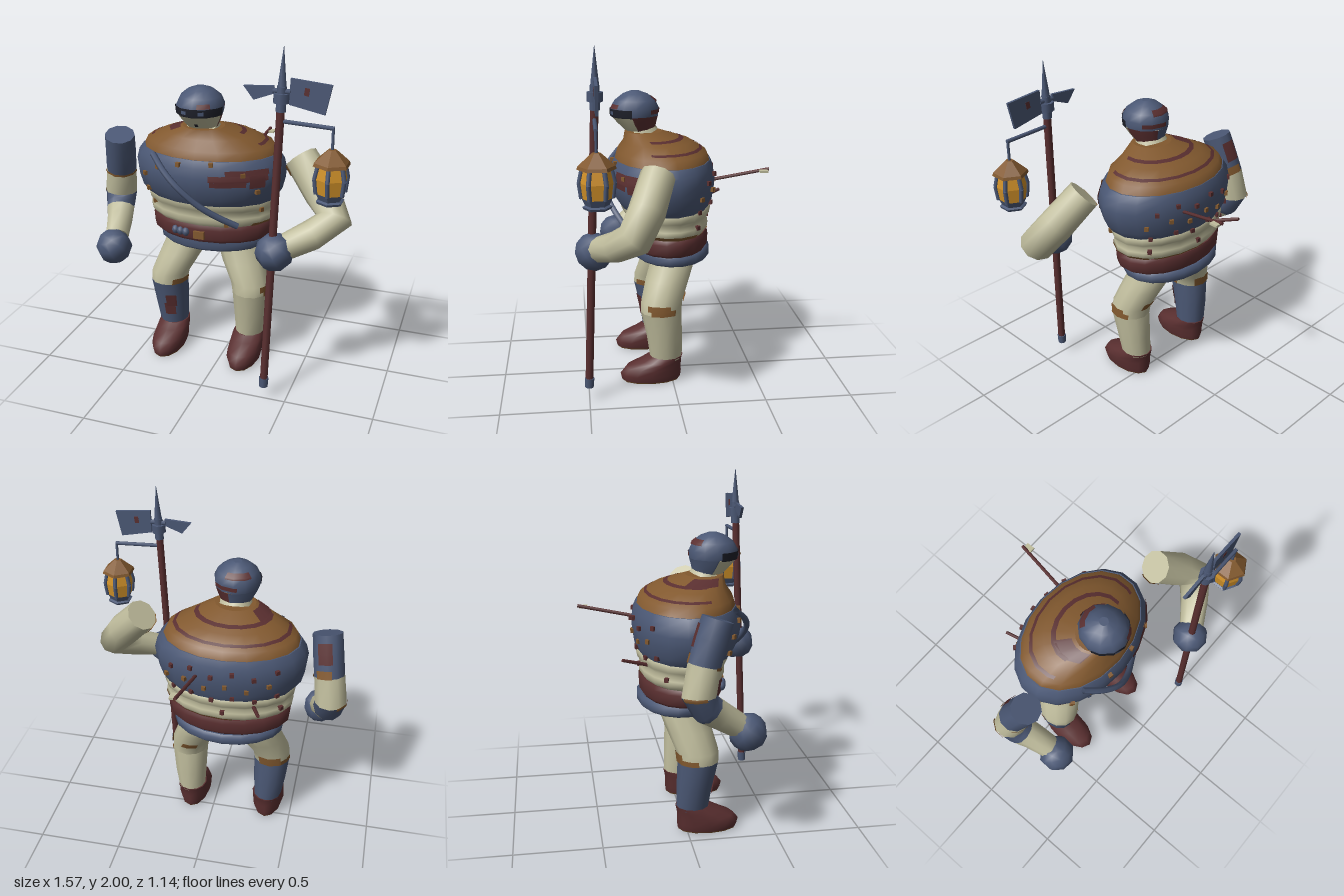
import * as THREE from 'three';

const mat = (name, color) => {
  const m = new THREE.MeshStandardMaterial({ color, side: THREE.DoubleSide });
  m.name = name;
  return m;
};

export function createModel() {
  const root = new THREE.Group();
  const cream = mat('cream', 0xc0bd9d), blue = mat('steelBlue', 0x4b5875), red = mat('oxblood', 0x5a2f30);
  const brown = mat('leather', 0x82592f), amber = mat('amber', 0xcf9029), dark = mat('dark', 0x1f212b);

  const add = (name, geo, m, parent = root) => {
    const mesh = new THREE.Mesh(geo, m);
    mesh.name = name;
    parent.add(mesh);
    return mesh;
  };
  const V = (x, y, z) => new THREE.Vector3(x, y, z);

  // Cross-sections [x, y, z, radiusX, radiusZ], listed bottom to top; tilted ones follow the path.
  const makeRings = (list, tilted = false) => list.map(([x, y, z, rx, rz = rx], i) => {
    const u = V(1, 0, 0), v = V(0, 0, 1);
    if (tilted) {
      const a = list[Math.max(i - 1, 0)], b = list[Math.min(i + 1, list.length - 1)];
      const t = V(b[0] - a[0], b[1] - a[1], b[2] - a[2]).normalize();
      v.addScaledVector(t, -v.dot(t)).normalize();
      u.crossVectors(t, v);
    }
    return { c: V(x, y, z), u, v, rx, rz };
  });
  // Point on a lofted body: s counts sections, t is the angle from the front towards +x.
  const point = (rings, s, t, off = 0) => {
    const i = Math.min(Math.floor(s), rings.length - 2), f = s - i;
    const [p, q] = [0, 1].map((k) => {
      const r = rings[i + k];
      return r.c.clone().addScaledVector(r.u, Math.sin(t) * (r.rx + off)).addScaledVector(r.v, Math.cos(t) * (r.rz + off));
    });
    return p.lerp(q, f);
  };
  const sAt = (rings, y) => {
    for (let i = 0; i < rings.length - 1; i++) {
      const a = rings[i].c.y, b = rings[i + 1].c.y;
      if (y >= a && y <= b) return i + (y - a) / (b - a);
    }
    return y < rings[0].c.y ? 0 : rings.length - 1;
  };
  // Skin between sections a and b; with t0..t1 it becomes a thin patch.
  const skin = (rings, a, b, n, { t0 = 0, t1 = Math.PI * 2, off = 0, caps = false, flat = false } = {}) => {
    const ss = [a], ts = [t0], step = Math.PI * 2 / n, closed = t1 - t0 > 6.28;
    for (let i = Math.floor(a) + 1; i < b - 1e-4; i++) ss.push(i);
    ss.push(b);
    for (let k = Math.floor(t0 / step + 1e-4) + 1; k * step < t1 - 1e-4; k++) ts.push(k * step);
    if (!closed) ts.push(t1);
    const pos = [], idx = [], w = ts.length;
    for (const s of ss) for (const t of ts) pos.push(...point(rings, s, t, off).toArray());
    for (let i = 0; i < ss.length - 1; i++) for (let j = 0; j < (closed ? w : w - 1); j++) {
      const k = (j + 1) % w, p = i * w, q = p + w;
      idx.push(p + j, p + k, q + k, p + j, q + k, q + j);
    }
    if (caps) for (const top of [false, true]) {
      const s = top ? b : a, base = pos.length / 3;
      const c = point(rings, s, 0).add(point(rings, s, Math.PI)).multiplyScalar(0.5);
      pos.push(...c.toArray());
      for (const t of ts) pos.push(...point(rings, s, t, off).toArray());
      for (let j = 0; j < w; j++) {
        const p = base + 1 + j, q = base + 1 + (j + 1) % w;
        idx.push(base, top ? p : q, top ? q : p);
      }
    }
    let g = new THREE.BufferGeometry();
    g.setAttribute('position', new THREE.Float32BufferAttribute(pos, 3));
    g.setIndex(idx);
    if (flat) g = g.toNonIndexed();
    g.computeVertexNormals();
    return g;
  };
  const patches = (name, rings, n, list) => list.forEach(([m, a, b, t0, t1]) =>
    add(name, skin(rings, a, b, n, { t0, t1, off: 0.005 }), m));
  const byHeight = (rings, list) => list.map(([m, y0, y1, t0, t1]) => [m, sAt(rings, y0), sAt(rings, y1), t0, t1]);
  // Straight rod between two points
  const rod = (name, a, b, r0, r1, m, sides = 8) => {
    const p = V(...a), q = V(...b), d = q.clone().sub(p);
    const mesh = add(name, new THREE.CylinderGeometry(r1, r0, d.length(), sides), m);
    mesh.position.copy(p).lerp(q, 0.5);
    mesh.quaternion.setFromUnitVectors(V(0, 1, 0), d.normalize());
    return mesh;
  };

  // Torso, one skin per band of clothing
  const C = -0.1, N = 18;
  const bands = [
    ['hemRing', blue, [[.72, -.02, .31, .22], [.735, -.02, .33, .233], [.77, -.02, .33, .233], [.785, -.01, .315, .225]]],
    ['belt', red, [[.785, 0, .34, .225], [.805, 0, .365, .238], [.865, 0, .37, .242], [.89, 0, .35, .232]]],
    ['shirt', cream, [[.89, .005, .355, .228], [.915, .005, .38, .245], [.945, .005, .38, .245], [.97, .01, .365, .237],
      [.995, .01, .39, .258], [1.03, .012, .392, .268], [1.045, .015, .38, .26]]],
    ['breastplate', blue, [[1.035, .02, .39, .265], [1.08, .025, .425, .288], [1.15, .03, .443, .305], [1.21, .03, .45, .31],
      [1.27, .03, .435, .3], [1.31, .03, .405, .282]]],
    ['shoulderMantle', brown, [[1.305, .03, .4, .28], [1.355, .035, .375, .263], [1.41, .06, .265, .2], [1.467, .14, .12, .11]]],
  ];
  const torso = {};
  for (const [name, m, rows] of bands) {
    torso[name] = makeRings(rows.map(([y, z, rx, rz]) => [C, y, z, rx, rz]));
    add(name, skin(torso[name], 0, rows.length - 1, N, { caps: true }), m);
  }
  const { breastplate: plate, shoulderMantle: mantle, shirt, belt } = torso;
  patches('rustPatch', plate, N, byHeight(plate, [
    [red, 1.17, 1.2, .22, .7], [red, 1.2, 1.235, .2, 1.05], [red, 1.235, 1.265, .42, 1.08], [red, 1.16, 1.235, .75, 1.0]]));
  patches('mantleTrim', mantle, N, byHeight(mantle, [
    [red, 1.372, 1.382, 1.25, 5.03], [red, 1.426, 1.435, 1.4, 4.88], [red, 1.43, 1.462, 4.1, 5.3]]));
  patches('shirtStain', shirt, N, byHeight(shirt, [[brown, .892, .915, .9, 2.2], [brown, .892, .905, 2.3, 3.3]]));

  // Rivets set on the torso surface
  const onTorso = (x, y, back) => {
    const r = y > 1.045 ? plate : y > .89 ? shirt : belt, s = sAt(r, y);
    const rx = point(r, s, Math.PI / 2).x - C;
    const t = Math.asin(THREE.MathUtils.clamp((x - C) / rx, -1, 1));
    return { p: point(r, s, back ? Math.PI - t : t), t: back ? Math.PI - t : t };
  };
  const stud = (name, x, y, back, m, size = [.024, .024, .024]) => {
    const { p, t } = onTorso(x, y, back), b = add(name, new THREE.BoxGeometry(...size), m);
    b.position.copy(p);
    b.rotation.y = t;
  };
  [[-.42, 1.18], [-.41, 1.085], [-.41, .975], [-.32, 1.245], [-.19, 1.28], [0, 1.295], [.17, 1.24], [.24, 1.135], [.24, 1.0], [.06, .91]]
    .forEach(([x, y]) => stud('rivet', x, y, false, brown));
  for (let i = 0; i < 6; i++) for (let j = 0; j < 3; j++)
    stud('backRivet', -.4 + i * .12 + (j % 2) * .04, 1.24 - j * .085 - (i % 2) * .03, true, j === 1 ? brown : red);
  [-.42, -.1, .2].forEach((x) => stud('backRivet', x, .95, true, red));
  stud('buckle', C, .835, false, brown, [.065, .045, .03]);
  [-.255, -.22, -.185].forEach((x) => {
    const bead = add('beltPouch', new THREE.SphereGeometry(.022, 8, 6), blue);
    bead.position.copy(onTorso(x, .84, false).p);
    bead.scale.y = 1.2;
  });

  // Strap across the chest
  const strapPath = new THREE.CatmullRomCurve3([[-.36, 1.31, .27], [-.27, 1.24, .34], [-.17, 1.16, .375], [-.06, 1.06, .35],
    [.03, .99, .305], [.135, .925, .25]].map((p) => V(...p)));
  add('chestStrap', new THREE.TubeGeometry(strapPath, 16, .018, 6), blue);

  // Arrows stuck in the back
  rod('arrow', [.045, 1.195, -.24], [.085, 1.26, -.575], .01, .01, red, 6);
  const fletch = add('arrowFletching', new THREE.BoxGeometry(.035, .012, .05), cream);
  fletch.position.set(.103, 1.25, -.54);
  rod('brokenArrow', [-.27, .99, -.19], [-.325, 1.045, -.355], .012, .01, red, 6);

  // Head
  const head = makeRings([[C, 1.475, .16, .088], [C, 1.52, .178, .113, .115], [C, 1.56, .19, .13, .138], [C, 1.605, .19, .135, .141],
    [C, 1.65, .187, .115, .118], [C, 1.685, .187, .072], [C, 1.702, .187, .025]]);
  add('face', skin(head, 0, 2, 12, { t0: -1.5, t1: 1.4 }), cream);
  add('rustyNape', skin(head, 0, 2, 12, { t0: 1.4, t1: 2.9 }), red);
  add('nape', skin(head, 0, 2, 12, { t0: 2.9, t1: Math.PI * 2 - 1.5 }), blue);
  add('helmet', skin(head, 2, 6, 12, { caps: true }), blue);
  patches('visor', head, 12, byHeight(head, [[dark, 1.555, 1.603, -1.4, 1.4], [dark, 1.49, 1.51, -.03, .15],
    [red, 1.606, 1.63, .2, .75], [red, 1.575, 1.6, 2.2, 3.3], [red, 1.64, 1.67, 2.7, 4]]));
  [-.37, .37].forEach((t) => patches('eyeSlit', head, 12, byHeight(head, [[blue, 1.57, 1.59, t - .12, t + .12]])));
  rod('neck', [C, 1.45, .15], [C, 1.48, .16], .1, .09, cream, 12);

  // Legs and boots, mirrored about the body's own axis
  for (const side of [-1, 1]) {
    const X = (d) => C + side * d, right = side < 0;
    const leg = makeRings([[X(.248), .14, .035, .085, .095], [X(.256), .28, .045, .1, .105], [X(.262), .44, .065, .112, .12],
      [X(.255), .5, .06, .116, .122], [X(.2), .62, .02, .128, .13], [X(.155), .73, -.02, .132, .132], [X(.14), .79, -.02, .125, .125]]);
    add('thigh', skin(leg, 2, 6, 12, { caps: true }), cream);
    add(right ? 'greave' : 'shin', skin(leg, 0, 2, 12), right ? blue : cream);
    patches('legPatch', leg, 12, byHeight(leg, right
      ? [[red, .22, .3, -.1, .55], [red, .28, .36, .05, .65], [brown, .44, .475, .5, 1.6], [brown, .44, .5, 2.6, 3.8], [brown, .44, .47, 3.8, 4.6]]
      : [[brown, .44, .475, 1.0, 2.2], [brown, .465, .5, .8, 1.9], [brown, .5, .54, 2.8, 3.6]]));
    const bx = X(.245);
    const boot = makeRings([[bx, 0, .125, .085, .17], [bx, .008, .125, .09, .175], [bx, .045, .127, .1, .182], [bx, .085, .112, .1, .166],
      [bx, .125, .065, .098, .122], [bx, .155, .035, .09, .1]]);
    add('boot', skin(boot, 1, 5, 12, { caps: true }), red);
    add('sole', skin(boot, 0, 1, 12, { caps: true }), brown);
  }

  // Right arm hangs free, left arm bends to the staff
  const armR = makeRings([[-.63, .75, .23, .07], [-.655, .82, .13, .078], [-.685, .88, .045, .088], [-.697, .95, .005, .094],
    [-.675, 1.11, .035, .09], [-.655, 1.24, .075, .09], [-.64, 1.345, .11, .088]], true);
  add('rightForearm', skin(armR, 0, 1.7, 10, { caps: true }), cream);
  add('rightElbowGuard', skin(armR, 1.7, 3, 10), blue);
  add('rightUpperArm', skin(armR, 3, 4, 10), cream);
  add('rightShoulderSleeve', skin(armR, 4, 6, 10, { caps: true }), blue);
  patches('armPatch', armR, 10, [[brown, 3.95, 4.05, -1, 1.8], [brown, 4, 4.35, 2.4, 3.4], [red, 4.6, 5.6, 2.6, 3.5], [brown, 2.9, 3.05, 3.6, 5]]);
  const armL = makeRings([[.44, .915, .44, .07], [.58, .975, .345, .083], [.685, 1.045, .255, .1], [.6, 1.16, .185, .1],
    [.455, 1.325, .11, .095]], true);
  add('leftArm', skin(armL, 0, 4, 10, { caps: true }), cream);
  patches('armPatch', armL, 10, [[brown, 3.75, 4, 4.2, 5.6]]);
  for (const [name, p] of [['rightFist', [-.625, .705, .285]], ['leftFist', [.41, .9, .455]]]) {
    const fist = add(name, new THREE.SphereGeometry(.107, 8, 6), blue);
    fist.position.set(...p);
    fist.rotation.set(.5, .4, .3);
  }

  // Polearm
  rod('staff', [.376, .1, .5], [.423, 1.72, .435], .022, .022, red);
  rod('staffFoot', [.375, .08, .5], [.377, .135, .498], .025, .027, blue);
  rod('spearSocket', [.422, 1.67, .435], [.425, 1.8, .432], .027, .025, blue);
  rod('socketCollar', [.423, 1.715, .434], [.424, 1.765, .433], .042, .042, blue);
  rod('spearPoint', [.425, 1.79, .432], [.43, 2, .43], .024, .001, blue);
  const plateShape = (name, pts, depth, m, z) => {
    const g = new THREE.ExtrudeGeometry(new THREE.Shape(pts.map((p) => new THREE.Vector2(...p))), { depth, bevelEnabled: false });
    add(name, g, m).position.z = z - depth / 2;
  };
  plateShape('axeBlade', [[.465, 1.71], [.65, 1.672], [.682, 1.825], [.47, 1.845]], .016, blue, .432);
  plateShape('axeRust', [[.54, 1.765], [.565, 1.76], [.57, 1.8], [.545, 1.803]], .02, red, .432);
  plateShape('backSpike', [[.225, 1.79], [.28, 1.72], [.385, 1.76], [.385, 1.8]], .016, blue, .432);
  rod('bladeTang', [.38, 1.775, .432], [.47, 1.775, .432], .014, .014, blue, 6);

  // Lantern on its bracket
  const lx = .695, lz = .44;
  rod('lanternBracket', [.42, 1.622, .438], [.7, 1.61, lz], .011, .011, blue, 6);
  rod('lanternHook', [lx, 1.615, lz], [lx, 1.49, lz], .008, .008, blue, 6);
  const lantern = makeRings([[1.215, .07], [1.228, .076], [1.235, .062], [1.27, .078], [1.35, .088], [1.42, .072], [1.418, .1], [1.435, .094], [1.5, .022]]
    .map(([y, r]) => [lx, y, lz, r]));
  add('lanternBase', skin(lantern, 0, 3, 6, { caps: true, flat: true }), blue);
  add('lanternGlass', skin(lantern, 3, 5, 6, { flat: true }), amber);
  add('lanternRoof', skin(lantern, 6, 8, 6, { caps: true, flat: true }), brown);
  for (let k = 0; k < 6; k++) for (let s = 3; s < 5; s++)
    rod('lanternPost', point(lantern, s, k * Math.PI / 3).toArray(), point(lantern, s + 1, k * Math.PI / 3).toArray(), .012, .012, blue, 6);

  return root;
}
